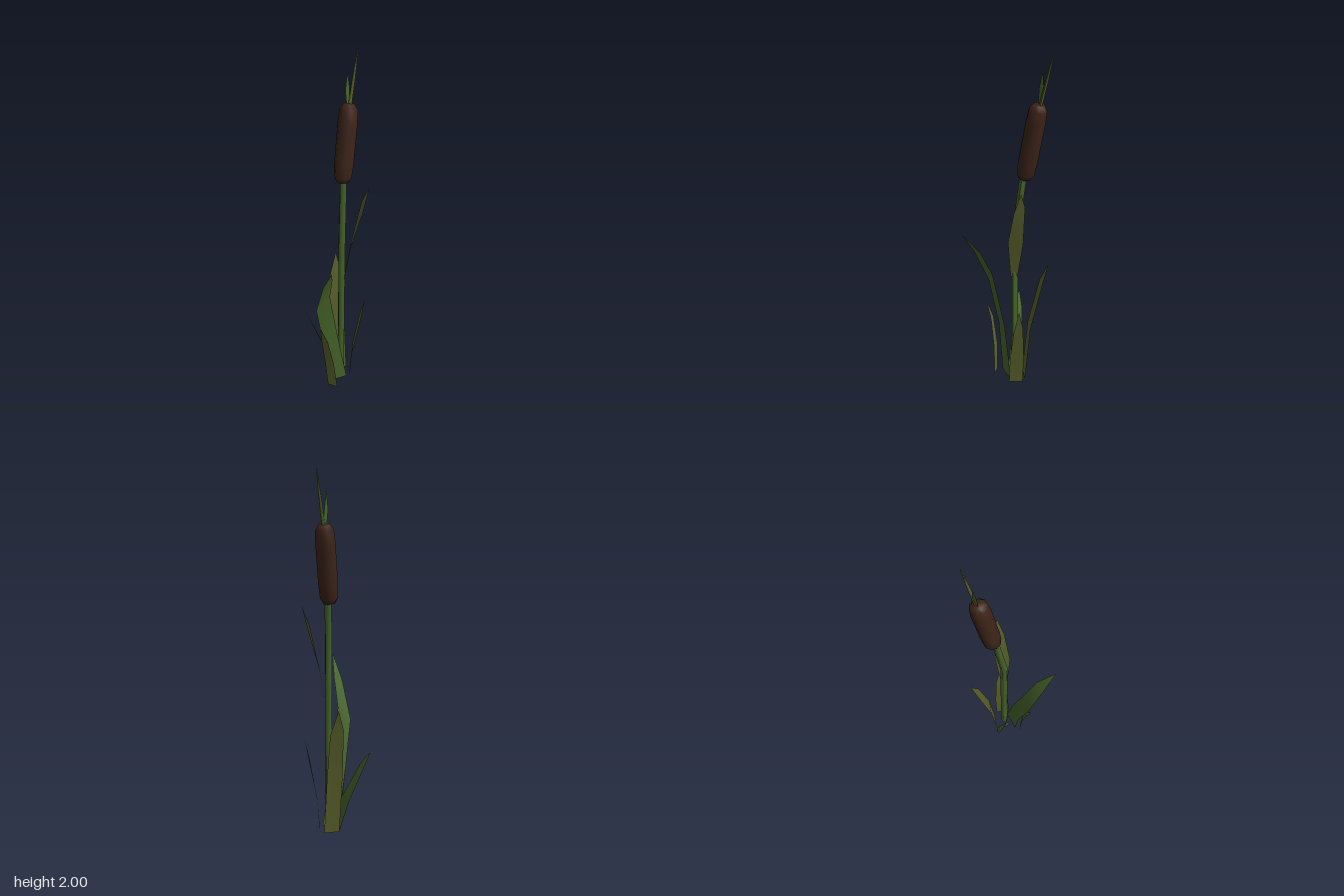
import * as THREE from 'three';

const mat = (color) => new THREE.MeshStandardMaterial({ color, side: THREE.DoubleSide });
const green = mat(0x47652a);
const olive = mat(0x59602c);
const brown = mat(0x3d2419);

function mesh(name, geometry, material) {
  const m = new THREE.Mesh(geometry, material);
  m.name = name;
  return m;
}

// Surface through rows of points with equal counts
function loft(rows) {
  const n = rows[0].length;
  const index = [];
  for (let r = 0; r < rows.length - 1; r++) {
    for (let i = 0; i < n - 1; i++) {
      const a = r * n + i, b = a + 1, c = a + n, d = c + 1;
      index.push(a, b, d, a, d, c);
    }
  }
  const g = new THREE.BufferGeometry();
  g.setAttribute('position', new THREE.Float32BufferAttribute(rows.flat(2), 3));
  g.setIndex(index);
  g.computeVertexNormals();
  return g;
}

// Thin blade: pairs of edge points from base upwards, closing at a tip
const blade = (pairs, tip) => loft([...pairs, [tip, tip]]);

// Tapered stalk: each ring is [x, y, z, radius]
function stalk(rings, sides) {
  return loft(rings.map(([x, y, z, r]) => Array.from({ length: sides + 1 }, (_, i) => {
    const a = -((i % sides) / sides) * Math.PI * 2;
    return [x + r * Math.cos(a), y, z + r * Math.sin(a)];
  })));
}

export function createModel() {
  const plant = new THREE.Group();
  plant.name = 'reedPlant';

  // Stem with a bend, and the spike above the head
  plant.add(mesh('stem', stalk([
    [0.05, 0, -0.045, 0.02], [0.05, 0.5, -0.045, 0.02],
    [0.05, 0.95, -0.043, 0.02], [0.035, 1.36, -0.09, 0.019],
  ], 6), green));
  plant.add(mesh('spike', stalk([
    [0.03, 1.7, -0.165, 0.01], [0.036, 1.85, -0.2, 0.008], [0.042, 2, -0.234, 0.003],
  ], 5), olive));

  // Brown seed head, tilted back along the stem
  const bottom = new THREE.Vector3(0.028, 1.315, -0.09);
  const axis = new THREE.Vector3(0.03, 1.73, -0.163).sub(bottom);
  const h = axis.length();
  const profile = [[0, 0], [0.034, 0.003], [0.047, 0.03], [0.051, 0.1],
    [0.051, h - 0.1], [0.047, h - 0.03], [0.03, h - 0.003], [0, h]]
    .map(([r, y]) => new THREE.Vector2(r, y));
  const head = mesh('seedHead', new THREE.LatheGeometry(profile, 10), brown);
  head.position.copy(bottom);
  head.quaternion.setFromUnitVectors(new THREE.Vector3(0, 1, 0), axis.normalize());
  plant.add(head);

  // Leaves
  plant.add(mesh('frontLeaf', blade([
    [[0.02, 0, 0.04], [0.09, 0, -0.04]],
    [[-0.01, 0.32, 0.075], [0.052, 0.36, 0.015]],
    [[-0.02, 0.6, 0.14], [0.04, 0.68, 0.09]],
    [[0.05, 0.82, 0.195], [0.08, 0.84, 0.145]],
  ], [0.12, 0.96, 0.235]), green));

  plant.add(mesh('sideLeafRight', blade([
    [[-0.015, 0, -0.045], [0.03, 0, 0.003]],
    [[-0.065, 0.17, -0.048], [-0.01, 0.18, 0]],
    [[-0.14, 0.37, -0.02], [-0.12, 0.4, 0.013]],
  ], [-0.175, 0.47, 0.01]), green));

  plant.add(mesh('smallFrontLeaf', blade([
    [[0.02, 0, 0.073], [0.08, 0, 0.07]],
    [[0.005, 0.18, 0.08], [0.06, 0.18, 0.078]],
    [[-0.005, 0.36, 0.107], [0.035, 0.36, 0.105]],
  ], [0.01, 0.48, 0.145]), olive));

  plant.add(mesh('backLeaf', blade([
    [[-0.02, 0, -0.07], [0.055, 0, -0.115]],
    [[-0.045, 0.35, -0.092], [0.03, 0.35, -0.135]],
    [[-0.07, 0.64, -0.15], [-0.005, 0.62, -0.183]],
  ], [-0.06, 0.77, -0.205]), olive));

  plant.add(mesh('sideLeafLeft', blade([
    [[0.08, 0, -0.11], [0.112, 0, -0.037]],
    [[0.093, 0.2, -0.12], [0.12, 0.18, -0.045]],
    [[0.13, 0.43, -0.127], [0.152, 0.4, -0.08]],
  ], [0.167, 0.565, -0.117]), olive));

  plant.add(mesh('stemLeaf', blade([
    [[0.055, 0.72, -0.065], [0.07, 0.72, -0.03]],
    [[0.08, 0.95, -0.105], [0.11, 0.96, -0.03]],
    [[0.125, 1.2, -0.13], [0.155, 1.17, -0.08]],
  ], [0.17, 1.3, -0.125]), olive));

  // Small leaf beside the spike
  plant.add(mesh('topLeaf', blade([
    [[0.02, 1.71, -0.155], [0.028, 1.71, -0.168]],
    [[0.012, 1.8, -0.153], [0.022, 1.8, -0.183]],
  ], [0.014, 1.9, -0.172]), green));

  return plant;
}
